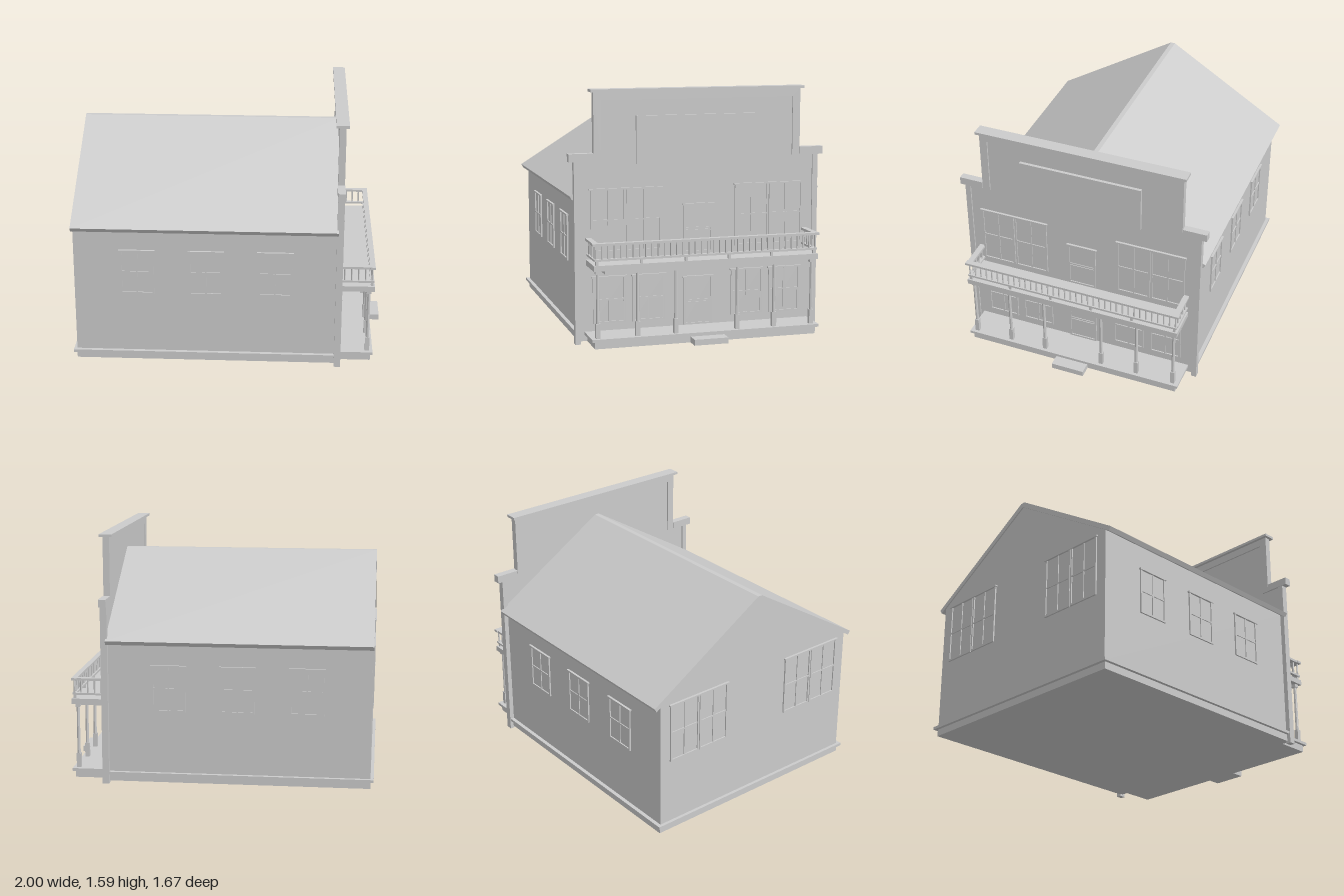
import * as THREE from 'three';

const mat = new THREE.MeshStandardMaterial({ color: 0xcccccc, flatShading: true });

function add(parent, name, geometry) {
  const m = new THREE.Mesh(geometry, mat);
  m.name = name;
  parent.add(m);
  return m;
}

// box given by its min and max on each axis
function box(parent, name, x0, x1, y0, y1, z0, z1) {
  const m = add(parent, name, new THREE.BoxGeometry(x1 - x0, y1 - y0, z1 - z0));
  m.position.set((x0 + x1) / 2, (y0 + y1) / 2, (z0 + z1) / 2);
  return m;
}

// symmetric outline from half of its points, listed bottom to top as [z, y]
function mirrored(half) {
  const other = half.map(([z, y]) => [-z, y]).reverse();
  return [...half, ...other].map(([z, y]) => new THREE.Vector2(z, y));
}

// extrude a z-y outline along x
function extrudeX(parent, name, points, x0, x1, hole) {
  const shape = new THREE.Shape(points);
  if (hole) shape.holes.push(new THREE.Path(hole));
  const g = new THREE.ExtrudeGeometry(shape, { depth: x1 - x0, bevelEnabled: false });
  g.rotateY(Math.PI / 2).translate(x0, 0, 0);
  return add(parent, name, g);
}

// place a wall fitting made in its own x-y plane, facing +z
function place(parent, fitting, x, y, z, turn) {
  fitting.position.set(x, y, z);
  fitting.rotation.y = turn;
  parent.add(fitting);
}

// framed opening, origin at the middle of the sill
function frame(name, w, h) {
  const g = new THREE.Group(), t = 0.012, a = w / 2;
  g.name = name;
  for (const s of [-1, 1]) {
    const c = s * (a - t / 2);
    box(g, 'jamb', c - t / 2, c + t / 2, 0, h, 0, 0.01);
  }
  box(g, 'header', -a - 0.008, a + 0.008, h - 0.01, h, 0, 0.015);
  box(g, 'sill', -a, a, 0, t, 0, 0.01);
  return g;
}

function makeWindow(w, h) {
  const g = frame('window', w, h);
  box(g, 'pane', -w / 2, w / 2, 0, h, -0.005, 0.002);
  box(g, 'verticalBar', -0.005, 0.005, 0, h, 0, 0.008);
  box(g, 'horizontalBar', -w / 2, w / 2, h / 2 - 0.005, h / 2 + 0.005, 0, 0.008);
  return g;
}

function makeDoor(w, h) {
  const g = frame('door', w, h);
  box(g, 'doorLeaf', -w / 2, w / 2, 0, h, -0.005, 0.003);
  for (const y of [0.45, 0.5]) box(g, 'doorRail', -w / 2, w / 2, h * y - 0.005, h * y + 0.005, 0, 0.008);
  return g;
}

export function createModel() {
  const model = new THREE.Group();
  model.name = 'falseFrontBuilding';

  // hall with gabled ends, foundation and base trim
  extrudeX(model, 'hall', mirrored([[0.77, 0.07], [0.77, 0.93], [0.005, 1.4]]), -0.98, 0.69);
  box(model, 'foundation', -0.98, 0.7, 0.015, 0.06, -0.775, 0.775);
  box(model, 'baseTrim', -1, 0.7, 0.06, 0.078, -0.795, 0.795);

  // roof slab with a blunt ridge
  const roof = [[0.82, 0.93], [0.015, 1.43]], under = [[0.005, 1.397], [0.806, 0.905]];
  const flip = (p) => p.map(([z, y]) => [-z, y]).reverse();
  extrudeX(model, 'roof',
    [...roof, ...flip(roof), ...flip(under), ...under].map(([z, y]) => new THREE.Vector2(z, y)), -0.988, 0.69);

  // false front: stepped frame around a recessed panel
  const outer = mirrored([[0.8, 0], [0.8, 1.15], [0.675, 1.15], [0.675, 1.575]]);
  const inner = [[0.765, 0.02], [0.765, 1.145], [0.625, 1.145], [0.625, 1.52]];
  // legs reach the ground, the opening between them stays clear below the panel
  const legs = [[0.765, 0], ...inner.slice(1)];
  const outline = [...outer, ...mirrored(legs).reverse()];
  extrudeX(model, 'facadeFrame', outline, 0.68, 0.722);
  extrudeX(model, 'facadePanel', mirrored(inner), 0.69, 0.712);
  box(model, 'topCap', 0.66, 0.742, 1.57, 1.587, -0.695, 0.695);
  for (const s of [-1, 1]) {
    const z = s * 0.755;
    box(model, 'shoulderCap', 0.678, 0.725, 1.145, 1.195, z - 0.078, z + 0.078);
  }
  box(model, 'signBoard', 0.71, 0.732, 1.12, 1.42, -0.405, 0.405);

  // windows and doors
  const q = Math.PI / 2;
  for (const x of [-0.578, -0.14, 0.297]) {
    place(model, makeWindow(0.215, 0.3), x, 0.475, 0.77, 0);
    place(model, makeWindow(0.215, 0.3), x, 0.475, -0.77, Math.PI);
  }
  for (const s of [-1, 1]) {
    for (const z of [0.355, 0.585]) {
      place(model, makeWindow(0.225, 0.4), 0.712, 0.575, s * z, q);
      place(model, makeWindow(0.225, 0.4), -0.98, 0.515, s * z, -q);
    }
    for (const z of [0.325, 0.58]) place(model, makeWindow(0.21, 0.3), 0.712, 0.125, s * z, q);
  }
  place(model, makeDoor(0.19, 0.315), 0.712, 0.08, 0, q);
  place(model, makeDoor(0.19, 0.315), 0.712, 0.545, 0, q);

  // porch floor and step
  box(model, 'porchBase', 0.7, 0.915, 0.015, 0.06, -0.72, 0.72);
  box(model, 'porchFloor', 0.7, 0.93, 0.06, 0.078, -0.74, 0.74);
  box(model, 'step', 0.9, 1, 0.015, 0.052, -0.11, 0.11);

  // porch posts
  for (const s of [-1, 1]) for (const d of [0.2, 0.445, 0.697]) {
    const z = s * d;
    box(model, 'postPedestal', 0.881, 0.909, 0.075, 0.17, z - 0.014, z + 0.014);
    const shaft = add(model, 'postShaft', new THREE.CylinderGeometry(0.01, 0.011, 0.33, 8));
    shaft.position.set(0.895, 0.325, z);
    box(model, 'postCap', 0.88, 0.91, 0.478, 0.502, z - 0.015, z + 0.015);
  }

  // balcony deck
  box(model, 'balconyBeam', 0.71, 0.915, 0.477, 0.502, -0.655, 0.655);
  box(model, 'balconyDeck', 0.71, 0.93, 0.5, 0.535, -0.727, 0.727);

  // balcony railing
  const rail = new THREE.Group();
  rail.name = 'railing';
  model.add(rail);
  const balusterShape = new THREE.CylinderGeometry(0.006, 0.006, 0.085, 6);
  const baluster = (x, z) => add(rail, 'baluster', balusterShape).position.set(x, 0.615, z);
  box(rail, 'frontTopRail', 0.895, 0.93, 0.655, 0.67, -0.735, 0.735);
  box(rail, 'frontBottomRail', 0.9, 0.925, 0.56, 0.573, -0.722, 0.722);
  for (let i = 0; i <= 36; i++) baluster(0.913, -0.712 + (i * 1.424) / 36);
  for (const z of [-0.705, -0.42, -0.14, 0.14, 0.425, 0.705]) {
    box(rail, 'railFoot', 0.904, 0.921, 0.53, 0.562, z - 0.008, z + 0.008);
  }
  for (const s of [-1, 1]) {
    const z = s * 0.712;
    box(rail, 'sideTopRail', 0.71, 0.9, 0.655, 0.67, z - 0.018, z + 0.018);
    box(rail, 'sideBottomRail', 0.71, 0.905, 0.56, 0.573, z - 0.012, z + 0.012);
    for (let i = 0; i < 4; i++) baluster(0.738 + i * 0.044, z);
  }
  return model;
}
